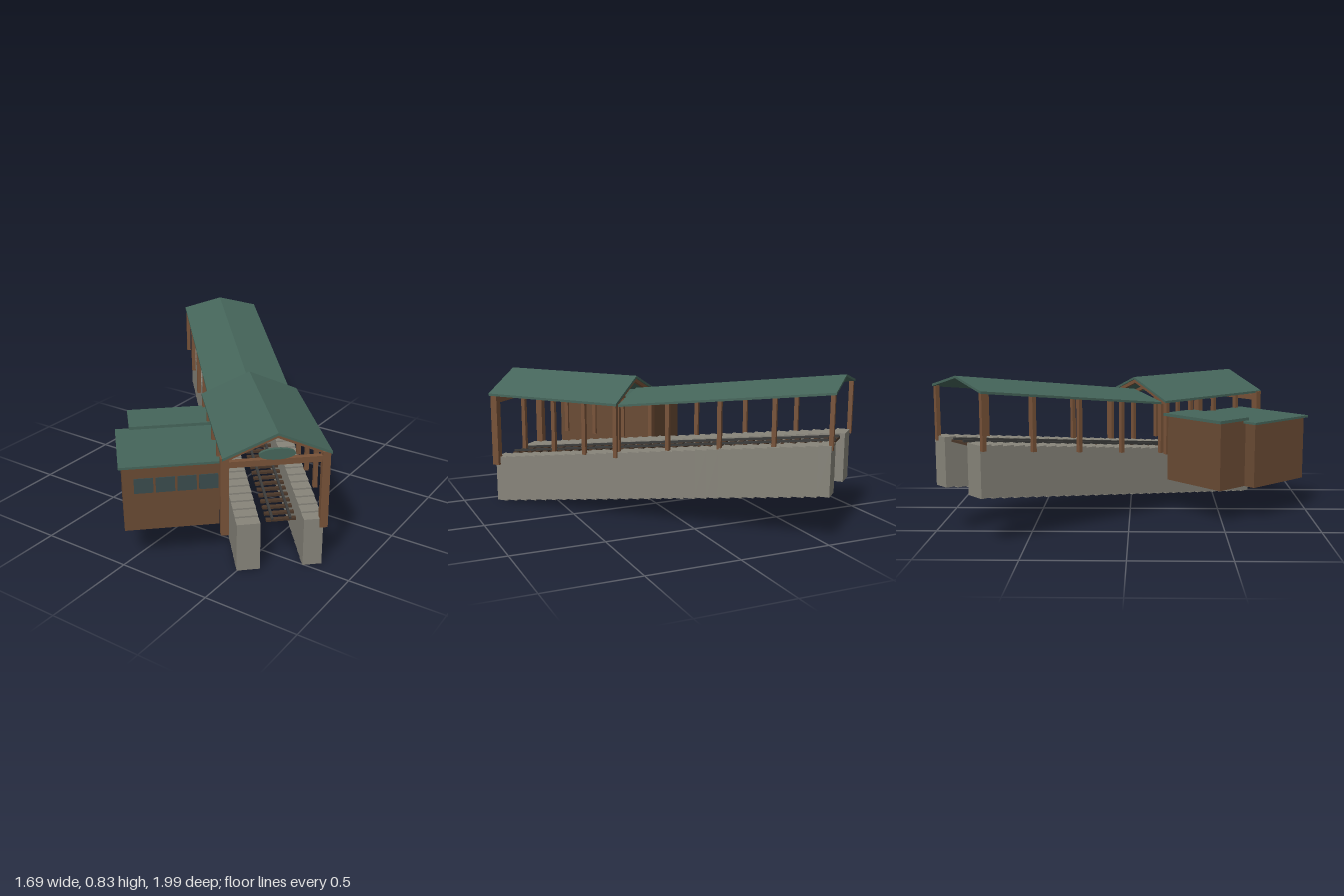
import * as THREE from 'three';

const mat = (name, color) => {
  const m = new THREE.MeshStandardMaterial({ color });
  m.name = name;
  return m;
};

export function createModel() {
  const green = mat('roof green', 0x45655a);
  const wood = mat('post wood', 0x775238);
  const wall = mat('wall brown', 0x694a33);
  const stone = mat('concrete', 0x87847a);
  const tieWood = mat('tie brown', 0x4a3729);
  const steel = mat('rail steel', 0x3b3b3a);
  const glass = mat('window glass', 0x3a4b4d);

  const model = new THREE.Group();
  const station = new THREE.Group();
  station.name = 'station';
  station.rotation.y = THREE.MathUtils.degToRad(42.5);
  model.add(station);

  const group = (name) => {
    const g = new THREE.Group();
    g.name = name;
    station.add(g);
    return g;
  };
  const add = (parent, name, geo, material) => {
    const m = new THREE.Mesh(geo, material);
    m.name = name;
    parent.add(m);
    return m;
  };
  // Box given by its low and high corners
  const box = (parent, name, material, [x0, y0, z0], [x1, y1, z1]) => {
    const m = add(parent, name, new THREE.BoxGeometry(x1 - x0, y1 - y0, z1 - z0), material);
    m.position.set((x0 + x1) / 2, (y0 + y1) / 2, (z0 + z1) / 2);
    return m;
  };

  const CX = 0.068;                 // axis of both canopies
  const FRONT = 0.875, BACK = -1.065;
  const SLOPE = 0.127;
  const ground = (z) => 0.26 + (FRONT - z) * SLOPE;

  // Stepped platforms on either side of the track
  const steps = 30, depth = (FRONT - BACK) / steps, rise = 0.245 / (steps - 1);
  for (const [name, x0, x1] of [['leftSidePlatform', 0.208, 0.305], ['rightSidePlatform', -0.125, -0.008]]) {
    const g = group(name);
    for (let i = 0; i < steps; i++) {
      const z = FRONT - i * depth;
      box(g, 'platformStep', stone, [x0, i * rise, z - depth], [x1, 0.26 + i * rise, z]);
    }
  }

  // Inclined track: ties and two rails
  const track = group('track');
  const trackX = 0.1, trackFront = 0.85, trackBack = -1.05;
  const ties = 38;
  for (let i = 0; i < ties; i++) {
    const z = trackFront - 0.015 - i * (trackFront - trackBack - 0.03) / (ties - 1);
    const y = ground(z) - 0.01;
    box(track, 'tie', tieWood, [trackX - 0.075, y - 0.008, z - 0.011], [trackX + 0.075, y + 0.004, z + 0.011]);
  }
  const railLength = (trackFront - trackBack) * Math.hypot(1, SLOPE);
  const railZ = (trackFront + trackBack) / 2;
  for (const s of [-1, 1]) {
    const rail = add(track, 'rail', new THREE.BoxGeometry(0.012, 0.012, railLength), steel);
    rail.position.set(trackX + s * 0.045, ground(railZ), railZ);
    rail.rotation.x = Math.atan(SLOPE);
  }

  // Gable roof: chevron section extruded along z, sheared to follow the slope
  const gable = (parent, name, material, halfWidth, eave, ridge, thick, z0, z1, slope = 0) => {
    const s = new THREE.Shape();
    s.moveTo(-halfWidth, eave - thick);
    s.lineTo(0, ridge - thick);
    s.lineTo(halfWidth, eave - thick);
    s.lineTo(halfWidth, eave);
    s.lineTo(0, ridge);
    s.lineTo(-halfWidth, eave);
    s.closePath();
    const geo = new THREE.ExtrudeGeometry(s, { depth: z1 - z0, bevelEnabled: false });
    const p = geo.attributes.position;
    for (let i = 0; i < p.count; i++) p.setY(i, p.getY(i) - p.getZ(i) * slope);
    geo.translate(CX, 0, z0);
    geo.computeVertexNormals();
    return add(parent, name, geo, material);
  };

  // Upper canopy, running up the slope
  const upper = group('upperCanopy');
  gable(upper, 'upperRoof', green, 0.228, 0.77, 0.827, 0.012, -1.077, 0.092, SLOPE);
  for (let i = 0; i < 5; i++) {
    const z = -1.06 + i * 0.29;
    const top = 0.762 - (z + 1.077) * SLOPE;
    for (const s of [-1, 1]) {
      const x = CX + s * 0.214;
      box(upper, 'upperPost', wood, [x - 0.011, ground(z) - 0.025, z - 0.011], [x + 0.011, top, z + 0.011]);
    }
  }

  // Lower canopy, level
  const lower = group('lowerCanopy');
  gable(lower, 'lowerRoof', green, 0.264, 0.632, 0.746, 0.013, 0.088, 0.893);
  for (let i = 0; i < 5; i++) {
    const z = 0.866 - i * 0.19;
    const r = i === 0 ? 0.0195 : 0.011;
    for (const s of [-1, 1]) {
      const x = CX - 0.007 + s * 0.245;
      box(lower, i === 0 ? 'frontPost' : 'lowerPost', wood,
        [x - r, i === 0 ? 0.215 : 0.33, z - r], [x + r, 0.628, z + r]);
    }
    gable(lower, 'rafter', wood, 0.25, 0.625, 0.733, 0.02, z - 0.01, z + 0.01);
  }
  box(lower, 'frontBeam', wood, [CX - 0.245, 0.575, 0.852], [CX + 0.235, 0.606, 0.88]);

  // Blank oval board in the front gable
  const board = add(lower, 'ovalBoard', new THREE.CylinderGeometry(1, 1, 1, 32), green);
  board.rotation.x = Math.PI / 2;
  board.scale.set(0.088, 0.016, 0.028);
  board.position.set(CX - 0.004, 0.639, 0.888);

  // Ticket house in two blocks with flat slab roofs
  const house = group('house');
  box(house, 'frontBlock', wall, [-0.66, 0.185, 0.305], [-0.187, 0.532, 0.72]);
  box(house, 'backBlock', wall, [-0.592, 0.185, 0.11], [-0.19, 0.548, 0.305]);
  box(house, 'frontBlockRoof', green, [-0.677, 0.531, 0.288], [-0.172, 0.543, 0.737]);
  box(house, 'backBlockRoof', green, [-0.605, 0.547, 0.092], [-0.175, 0.563, 0.318]);
  for (let i = 0; i < 4; i++) {
    const x = -0.558 + i * 0.106;
    box(house, 'window', glass, [x - 0.047, 0.39, 0.719], [x + 0.047, 0.47, 0.724]);
  }

  return model;
}
